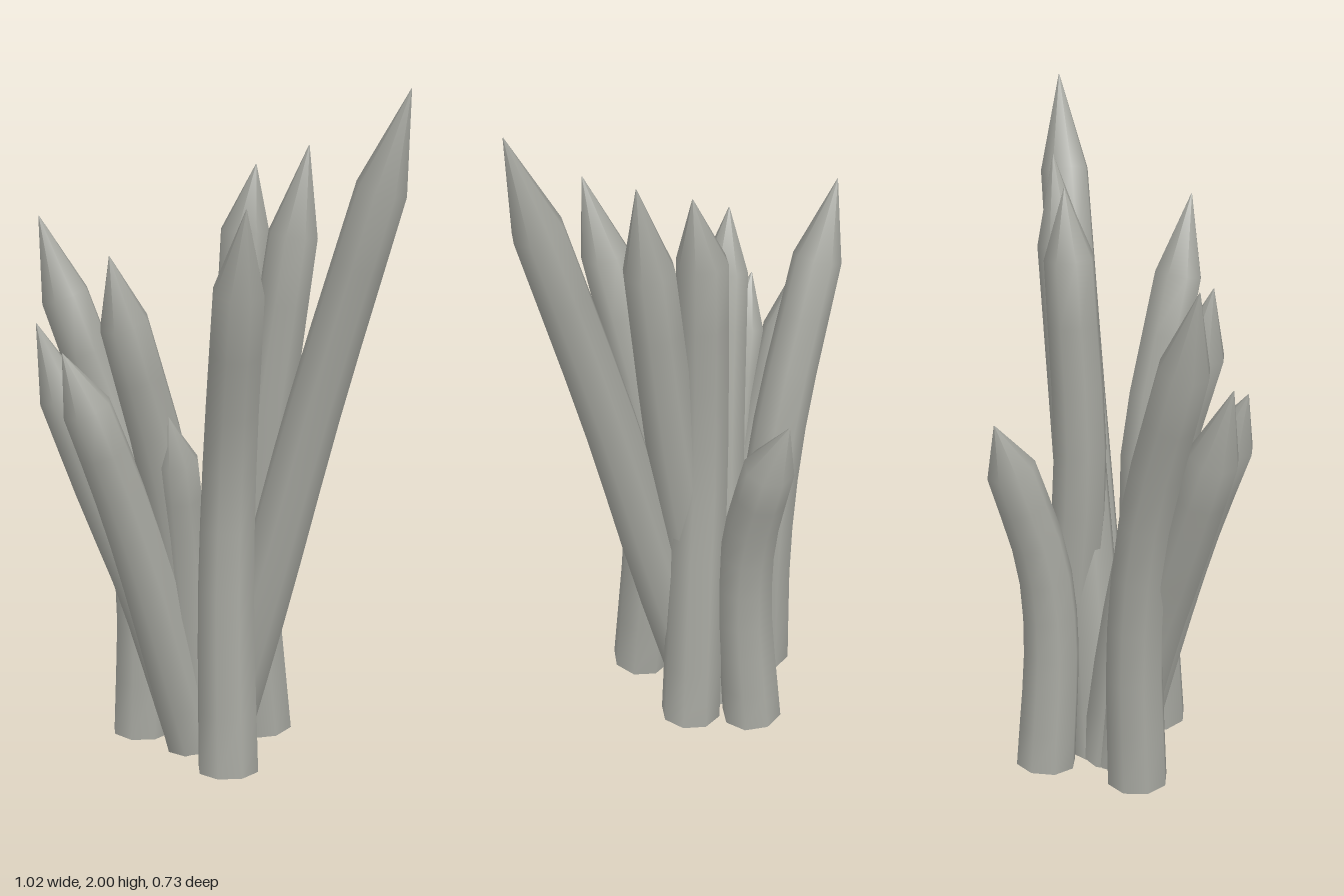
import * as THREE from 'three';

const SIDES = 8, STEPS = 8;

// Tapered eight-sided stem along a curve, with a flat foot and a pointed tip.
// path: centre points from foot to shoulder; tip: the point itself.
function stemGeometry(path, tip, r0, r1) {
  const curve = new THREE.CatmullRomCurve3(path.map(p => new THREE.Vector3(...p)));
  const apex = new THREE.Vector3(...tip);
  const pos = [], idx = [];

  const ring = (c, t, r) => {
    const u = new THREE.Vector3(1, 0, 0).addScaledVector(t, -t.x).normalize();
    const v = new THREE.Vector3().crossVectors(t, u);
    for (let j = 0; j < SIDES; j++) {
      const a = ((j + 0.5) / SIDES) * Math.PI * 2;
      const p = c.clone().addScaledVector(u, r * Math.cos(a)).addScaledVector(v, r * Math.sin(a));
      pos.push(p.x, p.y, p.z);
    }
  };

  for (let i = 0; i <= STEPS; i++) {
    const k = i / STEPS;
    ring(curve.getPointAt(k), curve.getTangentAt(k), r0 + (r1 - r0) * k);
  }
  ring(apex, curve.getTangentAt(1), 0.001);

  // walls and tip
  for (let i = 0; i <= STEPS; i++) {
    for (let j = 0; j < SIDES; j++) {
      const a = i * SIDES + j, b = i * SIDES + (j + 1) % SIDES;
      idx.push(a, b, b + SIDES, a, b + SIDES, a + SIDES);
    }
  }

  // flat foot with its own vertices, so its edge stays sharp
  const foot = pos.length / 3;
  ring(curve.getPointAt(0), curve.getTangentAt(0), r0);
  pos.push(...path[0]);
  for (let j = 0; j < SIDES; j++) idx.push(foot + SIDES, foot + (j + 1) % SIDES, foot + j);

  const g = new THREE.BufferGeometry();
  g.setAttribute('position', new THREE.Float32BufferAttribute(pos, 3));
  g.setIndex(idx);
  g.computeVertexNormals();
  return g;
}

export function createModel() {
  const group = new THREE.Group();
  group.name = 'stemCluster';
  const grey = new THREE.MeshStandardMaterial({ color: 0xa6a7a0 });
  grey.name = 'stone grey';

  const add = (name, path, tip, r0 = 0.092, r1 = 0.073) => {
    const mesh = new THREE.Mesh(stemGeometry(path, tip, r0, r1), grey);
    mesh.name = name;
    group.add(mesh);
  };

  // outer stems: lean inwards, then bend away from the middle
  add('frontStem', [[0.025, 0.04, 0.22], [0.02, 0.55, 0.178], [0.03, 0.95, 0.172], [0.045, 1.47, 0.305]], [0.06, 1.7, 0.368]);
  add('backStem', [[0.035, 0.04, -0.22], [0.04, 0.45, -0.19], [0.05, 0.7, -0.21], [0.08, 1.0, -0.295]], [0.075, 1.15, -0.355]);
  add('leftStem', [[0.15, 0.045, -0.07], [0.11, 0.5, -0.06], [0.07, 0.95, -0.05], [0.09, 1.58, -0.07]], [0.12, 1.77, -0.06]);
  add('rightStem', [[-0.22, 0.04, -0.075], [-0.215, 0.5, -0.085], [-0.27, 0.9, -0.095], [-0.43, 1.39, -0.105]], [-0.5, 1.62, -0.12]);

  // inner stems: fan out from the middle
  add('tallLeftStem', [[0.01, 0.025, -0.01], [0.13, 0.5, 0.055], [0.28, 1.12, 0.12], [0.44, 1.73, 0.2]], [0.508, 2.0, 0.238]);
  add('innerLeftStem', [[0.01, 0.025, -0.03], [0.06, 0.5, -0.02], [0.14, 1.0, 0.0], [0.22, 1.58, 0.01]], [0.262, 1.83, 0.015]);
  add('innerRightStem', [[-0.04, 0.025, -0.03], [-0.08, 0.45, 0.0], [-0.15, 0.9, 0.045], [-0.262, 1.35, 0.11]], [-0.3, 1.54, 0.12]);
  add('sideRightStem', [[-0.06, 0.035, -0.02], [-0.22, 0.55, 0.0], [-0.32, 0.8, 0.0], [-0.44, 1.12, 0.0]], [-0.51, 1.33, 0.0]);
  add('frontRightStem', [[-0.06, 0.035, 0.0], [-0.2, 0.58, 0.06], [-0.28, 0.85, 0.09], [-0.37, 1.11, 0.125]], [-0.435, 1.27, 0.13]);
  add('shortStem', [[-0.05, 0.025, 0.0], [-0.07, 0.4, 0.02], [-0.09, 0.65, 0.04], [-0.115, 0.94, 0.085]], [-0.14, 1.08, 0.12], 0.085, 0.065);

  return group;
}
